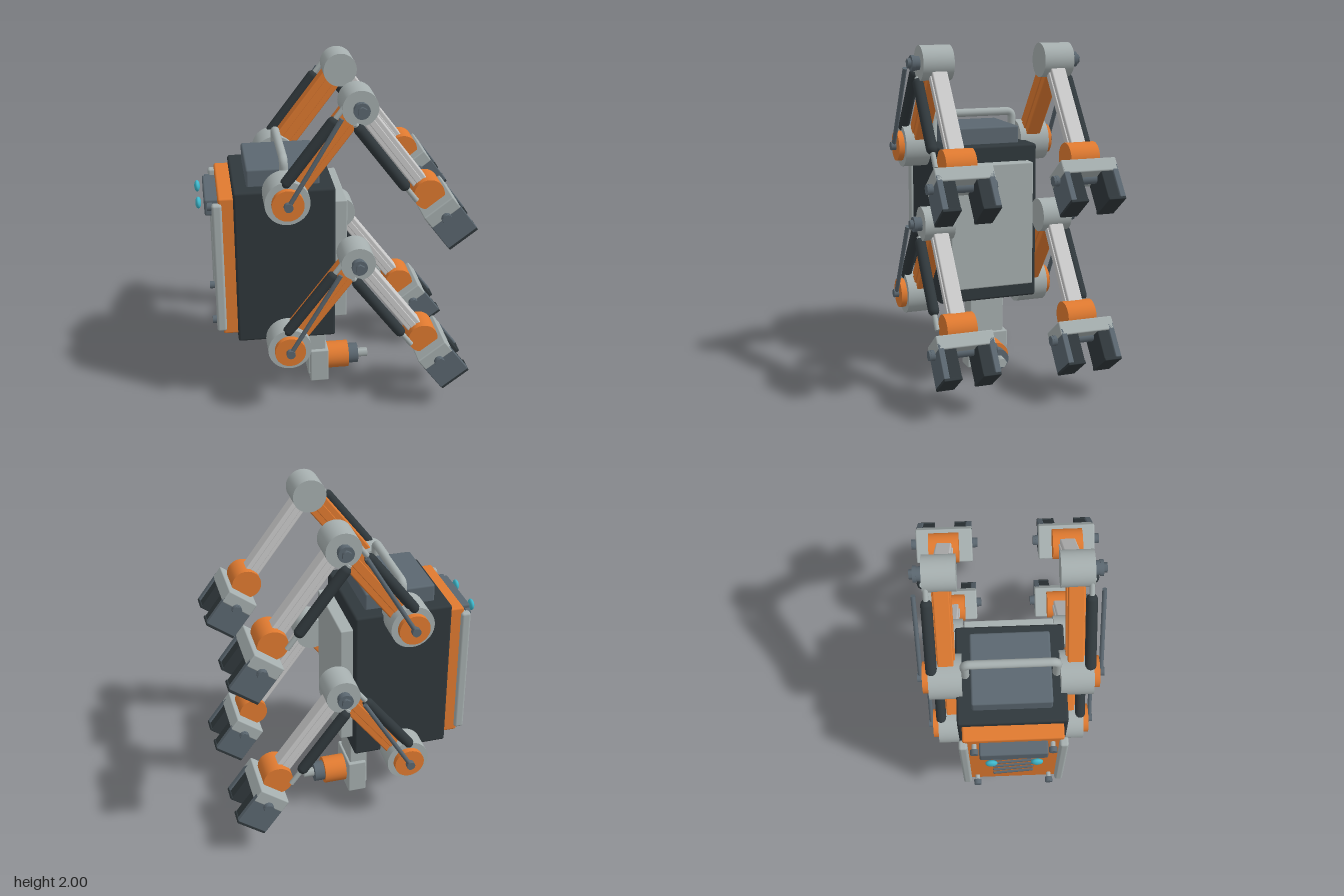
import * as THREE from 'three';
import { RoundedBoxGeometry } from 'three/addons/geometries/RoundedBoxGeometry.js';

const paint = (color) => new THREE.MeshStandardMaterial({ color });
const dark = paint(0x30383c), slate = paint(0x5b6770), gray = paint(0xa6afaf);
const light = paint(0xd2d4d2), orange = paint(0xe07a30), cyan = paint(0x3fb8cc);

function add(parent, name, geometry, material, x = 0, y = 0, z = 0) {
  const mesh = new THREE.Mesh(geometry, material);
  mesh.name = name;
  mesh.position.set(x, y, z);
  parent.add(mesh);
  return mesh;
}

// Box given by its limits on each axis
function box(parent, name, material, [x0, x1], [y0, y1], [z0, z1], r = 0.008) {
  const g = new RoundedBoxGeometry(x1 - x0, y1 - y0, Math.abs(z1 - z0), 2, r);
  return add(parent, name, g, material, (x0 + x1) / 2, (y0 + y1) / 2, (z0 + z1) / 2);
}

// Cylinder between two points
function rod(parent, name, material, a, b, r, sides = 32) {
  const p = new THREE.Vector3(...a), q = new THREE.Vector3(...b);
  const d = q.clone().sub(p);
  const mesh = add(parent, name, new THREE.CylinderGeometry(r, r, d.length(), sides), material);
  mesh.position.copy(p).add(q).multiplyScalar(0.5);
  mesh.quaternion.setFromUnitVectors(new THREE.Vector3(0, 1, 0), d.normalize());
  return mesh;
}

// Group whose local x axis runs along a limb
function limb(parent, name, x, y, angle) {
  const g = new THREE.Group();
  g.name = name;
  g.position.set(x, y, 0);
  g.rotation.z = angle;
  parent.add(g);
  return g;
}

// Beam with a raised centre rib and a piston on one side (bend = +1 or -1)
function beamAndPiston(g, s, material, half, bend, pistonZ) {
  box(g, 'beam', material, [0.04, 0.62], [-half, half], [s * 0.315, s * 0.405]);
  box(g, 'beamRib', material, [0.06, 0.6], [-half * 0.4, half * 0.4], [s * 0.307, s * 0.413], 0.004);
  const y = bend * 0.074, z = s * pistonZ;
  const barrel = add(g, 'pistonBarrel', new THREE.CapsuleGeometry(0.032, 0.42, 6, 24), dark, 0.3, y, z);
  barrel.rotation.z = Math.PI / 2;
  rod(g, 'pistonRod', gray, [0.05, y, z], [0.63, y, z], 0.015, 16);
}

function makeArm(s) {
  const arm = new THREE.Group();
  arm.name = s > 0 ? 'frontArm' : 'backArm';
  const S = [-0.29, 0], E = [0.11, 0.525];
  const pin = (parent, name, mat, [x, y], z0, z1, r, sides) =>
    rod(parent, name, mat, [x, y, s * z0], [x, y, s * z1], r, sides);

  // Shoulder joint
  pin(arm, 'shoulder', gray, S, 0.275, 0.46, 0.127, 48);
  pin(arm, 'shoulderDisc', orange, S, 0.455, 0.495, 0.09, 40);
  pin(arm, 'shoulderBolt', slate, S, 0.49, 0.525, 0.026, 12);

  // Upper arm and its thin linkage
  const upper = limb(arm, 'upperArm', ...S, Math.atan2(0.525, 0.4));
  beamAndPiston(upper, s, orange, 0.065, 1, 0.44);
  rod(arm, 'linkage', slate, [S[0], S[1], s * 0.507], [0, 0.49, s * 0.507], 0.013, 16);

  // Elbow joint
  pin(arm, 'elbow', gray, E, 0.275, 0.457, 0.1, 48);
  pin(arm, 'elbowWasher', slate, E, 0.45, 0.485, 0.04, 24);
  pin(arm, 'elbowCap', slate, E, 0.485, 0.505, 0.06 * 0.75, 24);
  pin(arm, 'elbowBolt', slate, E, 0.5, 0.525, 0.028, 6);

  // Forearm
  const fore = limb(arm, 'forearm', ...E, Math.atan2(-0.525, 0.398));
  beamAndPiston(fore, s, light, 0.045, -1, 0.46);

  // Wrist and gripper hand
  const W = [0.506, 0.003];
  pin(arm, 'wrist', orange, W, 0.275, 0.45, 0.088, 40);
  const hand = limb(arm, 'hand', ...W, Math.atan2(-0.525, 0.398));
  box(hand, 'palm', gray, [0.058, 0.14], [-0.1, 0.1], [s * 0.197, s * 0.53]);
  pin(hand, 'knucklePin', slate, [0.137, 0], 0.18, 0.55, 0.03, 20);
  for (const e of [-1, 1]) {
    const zi = 0.364 + e * 0.06, zm = 0.364 + e * 0.13, zo = 0.364 + e * 0.164;
    box(hand, 'fingerPad', dark, [0.13, 0.318], [-0.092, 0.092], [s * zi, s * zm], 0.005);
    box(hand, 'finger', slate, [0.1, 0.305], [-0.1, 0.1], [s * zm, s * zo], 0.005);
    box(hand, 'fingerTip', dark, [0.3, 0.318], [-0.098, 0.098], [s * zi, s * zo], 0.004);
    pin(hand, 'knuckleBolt', slate, [0.137, 0], 0.364 + e * 0.16, 0.364 + e * 0.198, 0.03, 8);
  }
  return arm;
}

export function createModel() {
  const model = new THREE.Group();
  model.name = 'fourArmedRobot';

  // Torso
  box(model, 'body', dark, [-0.58, 0], [0.435, 1.39], [-0.31, 0.31], 0.015);
  box(model, 'chestPlate', gray, [-0.01, 0.075], [0.535, 1.29], [-0.26, 0.26]);
  box(model, 'topCover', slate, [-0.5, -0.08], [1.38, 1.493], [-0.225, 0.225], 0.012);

  // Carrying handle
  const path = new THREE.CurvePath();
  const v = (y, z) => new THREE.Vector3(-0.29, y, z);
  path.add(new THREE.LineCurve3(v(1.38, -0.258), v(1.52, -0.258)));
  path.add(new THREE.QuadraticBezierCurve3(v(1.52, -0.258), v(1.558, -0.258), v(1.558, -0.22)));
  path.add(new THREE.LineCurve3(v(1.558, -0.22), v(1.558, 0.22)));
  path.add(new THREE.QuadraticBezierCurve3(v(1.558, 0.22), v(1.558, 0.258), v(1.52, 0.258)));
  path.add(new THREE.LineCurve3(v(1.52, 0.258), v(1.38, 0.258)));
  add(model, 'handle', new THREE.TubeGeometry(path, 80, 0.025, 16), gray);

  // Rear panel with vents, rails and screws
  box(model, 'rearPanel', orange, [-0.665, -0.57], [0.48, 1.35], [-0.285, 0.285], 0.012);
  for (let i = 0; i < 5; i++) {
    const vent = box(model, 'vent', slate, [-0.677, -0.655], [0.627 + i * 0.082, 0.649 + i * 0.082], [-0.125, 0.125]);
    vent.rotation.x = -0.22;
  }
  for (const s of [-1, 1]) {
    box(model, 'rail', gray, [-0.702, -0.645], [0.51, 1.32], [s * 0.257, s * 0.307], 0.015);
    for (const y of [0.55, 1.28]) {
      rod(model, 'screwShank', gray, [-0.66, y, s * 0.22], [-0.7, y, s * 0.22], 0.014, 12);
      rod(model, 'screwHead', slate, [-0.695, y, s * 0.22], [-0.725, y, s * 0.22], 0.023, 16);
    }
    // Sensor lights
    const lamp = add(model, 'sensorLight', new THREE.SphereGeometry(0.034, 24, 16), cyan, -0.772, 1.27, s * 0.127);
    lamp.scale.x = 0.5;
  }
  box(model, 'sensorBar', slate, [-0.74, -0.655], [1.21, 1.312], [-0.193, 0.193], 0.012);

  // Post, foot block and drive coupling
  box(model, 'post', gray, [-0.142, -0.03], [0.04, 0.45], [-0.108, 0.108]);
  box(model, 'footBlock', gray, [-0.13, -0.015], [0, 0.22], [-0.13, 0.13]);
  rod(model, 'motor', orange, [-0.03, 0.11, 0], [0.122, 0.11, 0], 0.085, 40);
  rod(model, 'coupling', slate, [0.115, 0.11, 0], [0.185, 0.11, 0], 0.063, 32);
  rod(model, 'driveShaft', gray, [0.18, 0.11, 0], [0.25, 0.11, 0], 0.029, 6);

  // Four arms: upper and lower pairs
  for (const y of [0.447, 1.375]) {
    for (const s of [-1, 1]) {
      const arm = makeArm(s);
      arm.position.y = y;
      model.add(arm);
    }
  }
  return model;
}
